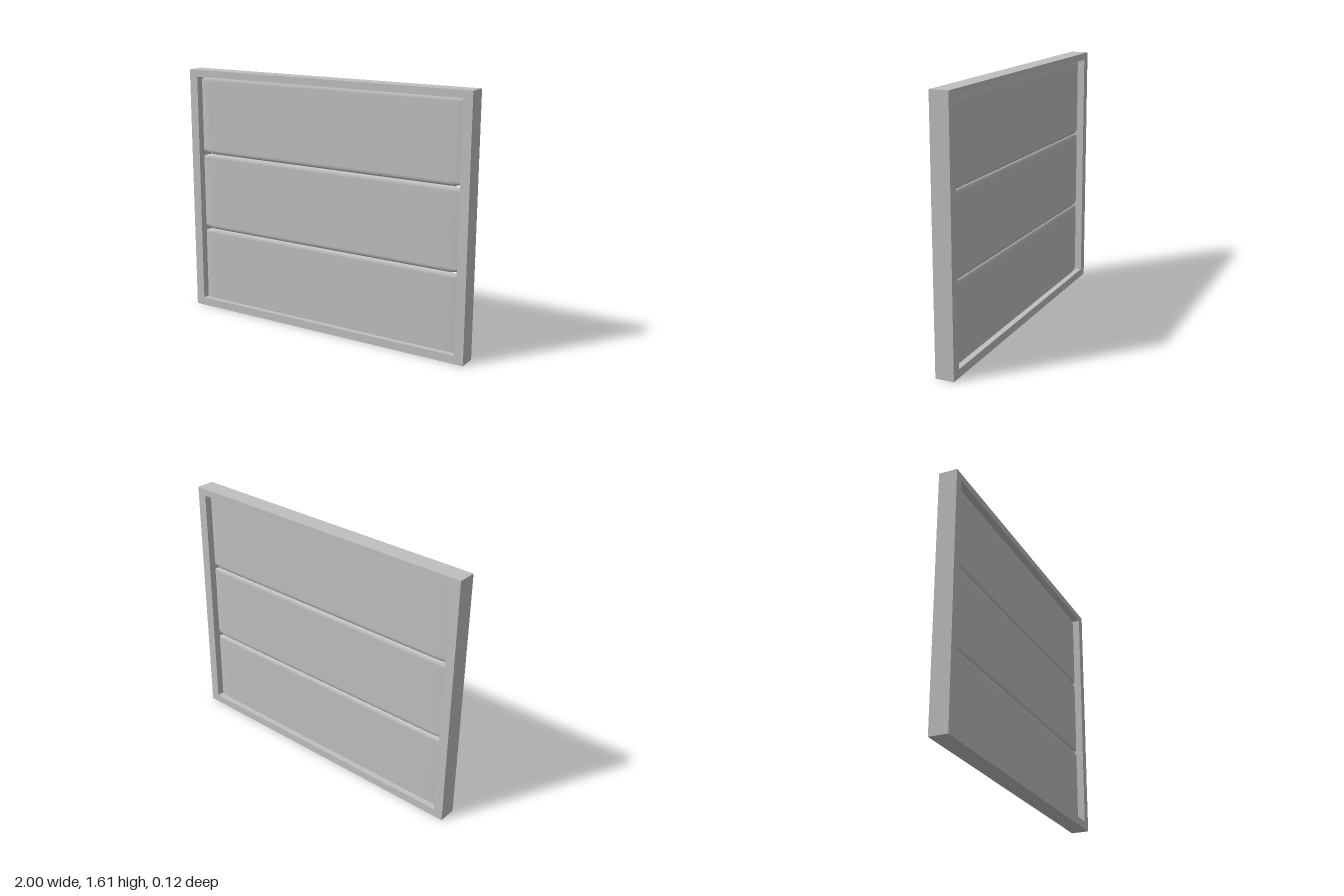
import * as THREE from 'three';
import { RoundedBoxGeometry } from 'three/addons/geometries/RoundedBoxGeometry.js';

const WIDTH = 2, HEIGHT = 1.61, DEPTH = 0.116;
const PANELS = 3, PITCH = 0.513, FIRST_Y = 0.028;

// Slab with edges rounded by a different radius along each axis
function softSlab(w, h, d, rx, ry, rz) {
  return new RoundedBoxGeometry(w / rx, h / ry, d / rz, 5, 1).scale(rx, ry, rz);
}

export function createModel() {
  const group = new THREE.Group();
  const grey = new THREE.MeshStandardMaterial({ color: 0xc0c0c0 });
  grey.name = 'plainGrey';

  // Square-edged surround with a rectangular opening
  const outline = new THREE.Shape([
    new THREE.Vector2(-WIDTH / 2, 0), new THREE.Vector2(WIDTH / 2, 0),
    new THREE.Vector2(WIDTH / 2, HEIGHT), new THREE.Vector2(-WIDTH / 2, HEIGHT),
  ]);
  outline.holes.push(new THREE.Path([
    new THREE.Vector2(-0.94, 0.052), new THREE.Vector2(-0.94, 1.565),
    new THREE.Vector2(0.94, 1.565), new THREE.Vector2(0.94, 0.052),
  ]));
  const frameGeometry = new THREE.ExtrudeGeometry(outline, { depth: DEPTH, bevelEnabled: false });
  frameGeometry.translate(0, 0, -DEPTH / 2);
  const frame = new THREE.Mesh(frameGeometry, grey);
  frame.name = 'frame';
  group.add(frame);

  // Three stacked boards, their soft ends tucked into the frame
  const boardGeometry = softSlab(1.9, PITCH, 0.042, 0.1, 0.03, 0.018);
  for (let i = 0; i < PANELS; i++) {
    const board = new THREE.Mesh(boardGeometry, grey);
    board.name = `board${i + 1}`;
    board.position.y = FIRST_Y + PITCH * (i + 0.5);
    group.add(board);
  }
  return group;
}
